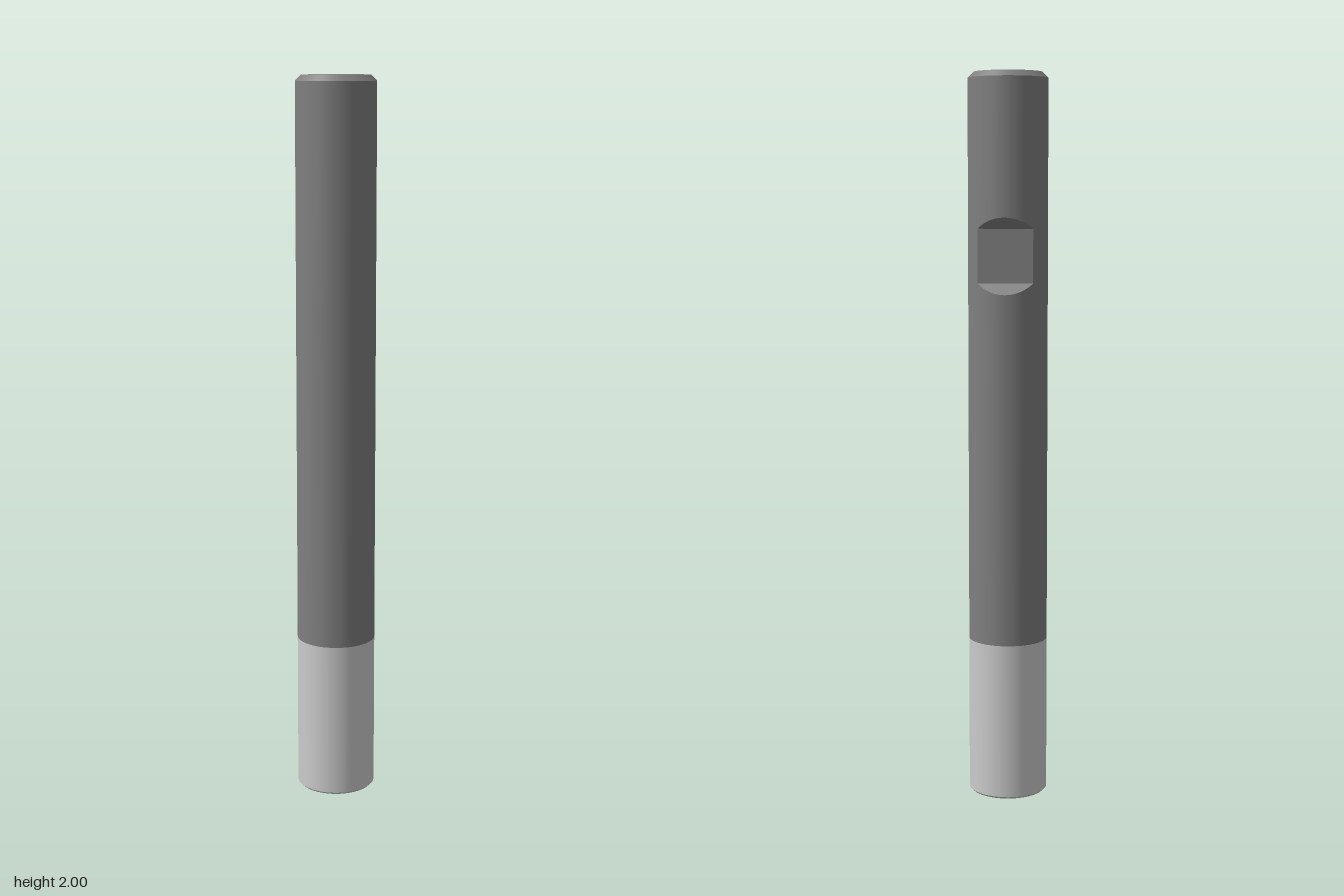
import * as THREE from 'three';

const R = 0.109, FLAT = 0.079, SEG = 96;
const RIM_LOW = 1.407, RIM_HIGH = 1.613, TIP_TOP = 0.44, CHAMFER_Y = 1.984;

// Surface from a grid: point(i, j) for rows going up, columns running left to right seen from outside
function grid(rows, cols, point) {
  const pos = [], idx = [];
  for (let i = 0; i <= rows; i++) for (let j = 0; j <= cols; j++) pos.push(...point(i, j / cols));
  for (let i = 0; i < rows; i++) for (let j = 0; j < cols; j++) {
    const a = i * (cols + 1) + j, b = a + cols + 1;
    idx.push(a, a + 1, b + 1, a, b + 1, b);
  }
  const g = new THREE.BufferGeometry();
  g.setAttribute('position', new THREE.Float32BufferAttribute(pos, 3));
  g.setIndex(idx);
  g.computeVertexNormals();
  return g;
}

export function createModel() {
  const group = new THREE.Group();
  const dark = new THREE.MeshStandardMaterial({ color: 0x808080 });
  const light = new THREE.MeshStandardMaterial({ color: 0xcccccc });
  const add = (name, geometry, material, y = 0) => {
    const mesh = new THREE.Mesh(geometry, material);
    mesh.name = name;
    mesh.position.y = y;
    group.add(mesh);
  };

  // Rows of the notch: height and half angle of the chord cut from the circle
  const N = 12, aMax = Math.acos(FLAT / R);
  const lower = [], upper = [];
  for (let i = 0; i <= N; i++) {
    const a = aMax * i / N, depth = R * (1 - Math.cos(a));
    lower.push({ y: RIM_LOW + depth, a });
    upper.unshift({ y: RIM_HIGH - depth, a });
  }

  // Shank wall, opening around the notch at the back
  const rows = [{ y: TIP_TOP, a: 0 }, ...lower, ...upper, { y: CHAMFER_Y, a: 0 }];
  const wall = grid(rows.length - 1, SEG, (i, t) => {
    const { y, a } = rows[i];
    const th = 2 * Math.PI - a - t * 2 * (Math.PI - a);
    return [R * Math.sin(th), y, -R * Math.cos(th)];
  });
  const p = wall.attributes.position;
  for (let i = 0; i < p.count; i++) wall.attributes.normal.setXYZ(i, p.getX(i) / R, 0, p.getZ(i) / R);
  add('shank', wall, dark);

  // Flat notch floor with sloping ends
  const cut = (list) => grid(list.length - 1, 8, (i, t) => {
    const { y, a } = list[i];
    return [R * Math.sin(a) * (1 - 2 * t), y, -R * Math.cos(a)];
  });
  add('notchLowerSlope', cut(lower), dark);
  add('notchFloor', cut([lower[N], upper[0]]), dark);
  add('notchUpperSlope', cut(upper), dark);

  // Chamfered top end
  const h = 2 - CHAMFER_Y;
  add('topChamfer', new THREE.CylinderGeometry(0.093, R, h, SEG, 1, true), dark, CHAMFER_Y + h / 2);
  add('topFace', new THREE.CircleGeometry(0.093, SEG).rotateX(-Math.PI / 2), dark, 2);

  // Light tip with a fine bevel at the bottom
  const bevel = 0.006, tipH = TIP_TOP - bevel;
  add('tip', new THREE.CylinderGeometry(R, R, tipH, SEG, 1, true), light, bevel + tipH / 2);
  add('tipBevel', new THREE.CylinderGeometry(R, R - bevel, bevel, SEG, 1, true), light, bevel / 2);
  add('bottomFace', new THREE.CircleGeometry(R - bevel, SEG).rotateX(Math.PI / 2), light);

  return group;
}
